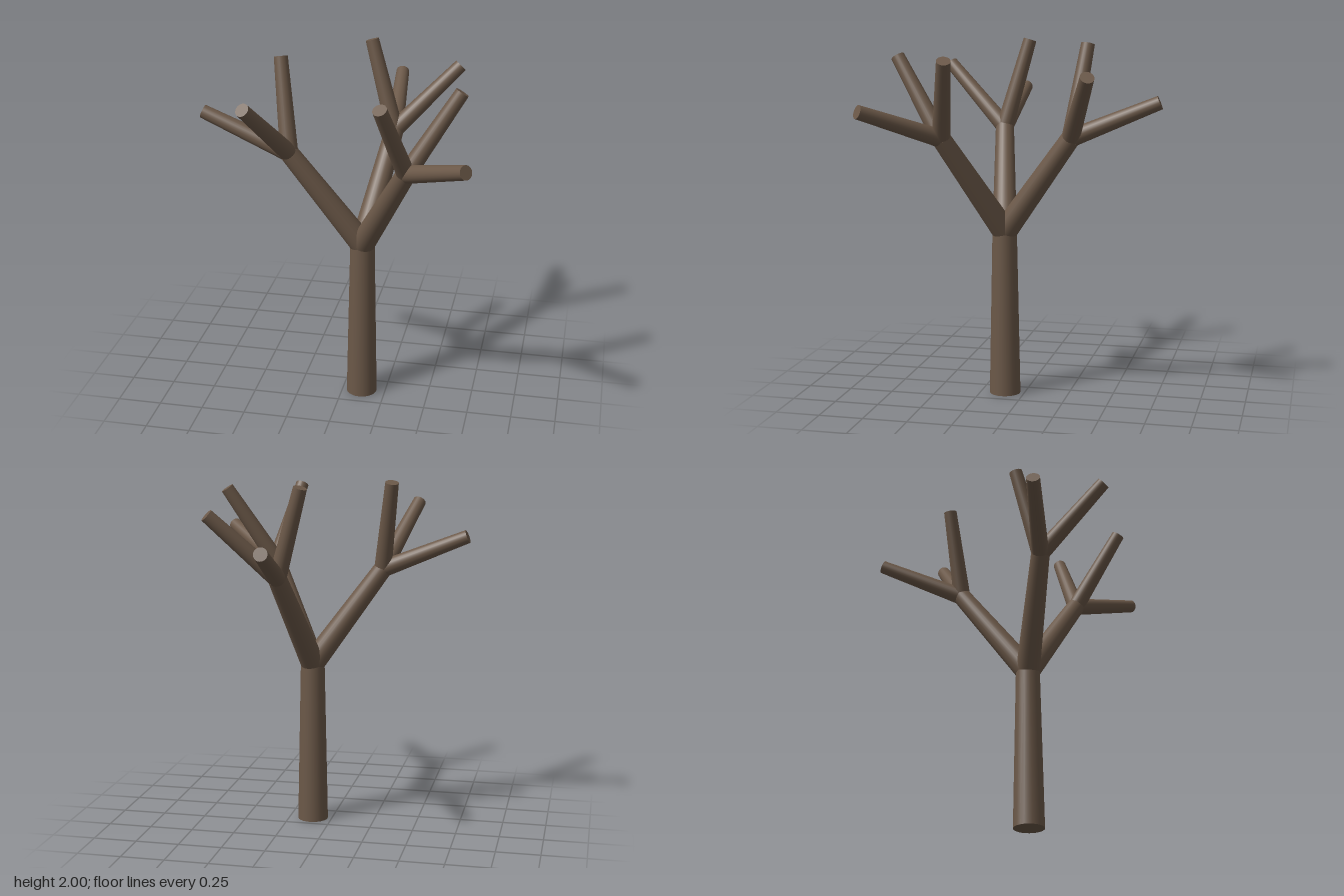
import * as THREE from 'three';

const bark = new THREE.MeshStandardMaterial({ color: 0x6b5848 });
const UP = new THREE.Vector3(0, 1, 0);

// Tapered, capped limb running from one point to another
function limb(name, from, to, baseRadius, tipRadius) {
  const a = new THREE.Vector3(...from);
  const b = new THREE.Vector3(...to);
  const dir = b.clone().sub(a);
  const mesh = new THREE.Mesh(
    new THREE.CylinderGeometry(tipRadius, baseRadius, dir.length(), 24), bark);
  mesh.name = name;
  mesh.position.copy(a).add(b).multiplyScalar(0.5);
  mesh.quaternion.setFromUnitVectors(UP, dir.normalize());
  return mesh;
}

// Each branch ends in a fork of three twigs
const forks = [
  { name: 'right', end: [-0.28, 1.49, 0.205],
    tips: [[-0.765, 1.69, 0.185], [-0.35, 1.993, 0.07], [-0.435, 1.845, 0.57]] },
  { name: 'back', end: [0.22, 1.49, -0.285],
    tips: [[0.187, 1.69, -0.765], [0.075, 1.993, -0.35], [0.57, 1.845, -0.437]] },
  { name: 'left', end: [0.395, 1.49, 0.395],
    tips: [[0.745, 1.66, 0.745], [0.665, 1.925, 0.298], [0.298, 1.925, 0.665]] },
];

export function createModel() {
  const tree = new THREE.Group();
  tree.name = 'bareTree';

  const crown = [0.112, 0.94, 0.112];
  tree.add(limb('trunk', [0.112, 0, 0.112], crown, 0.088, 0.069));

  for (const { name, end, tips } of forks) {
    const fork = new THREE.Group();
    fork.name = `${name}Limb`;
    fork.add(limb(`${name}Branch`, crown, end, 0.069, 0.053));
    tips.forEach((tip, i) => fork.add(limb(`${name}Twig${i + 1}`, end, tip, 0.05, 0.038)));
    tree.add(fork);
  }
  return tree;
}
